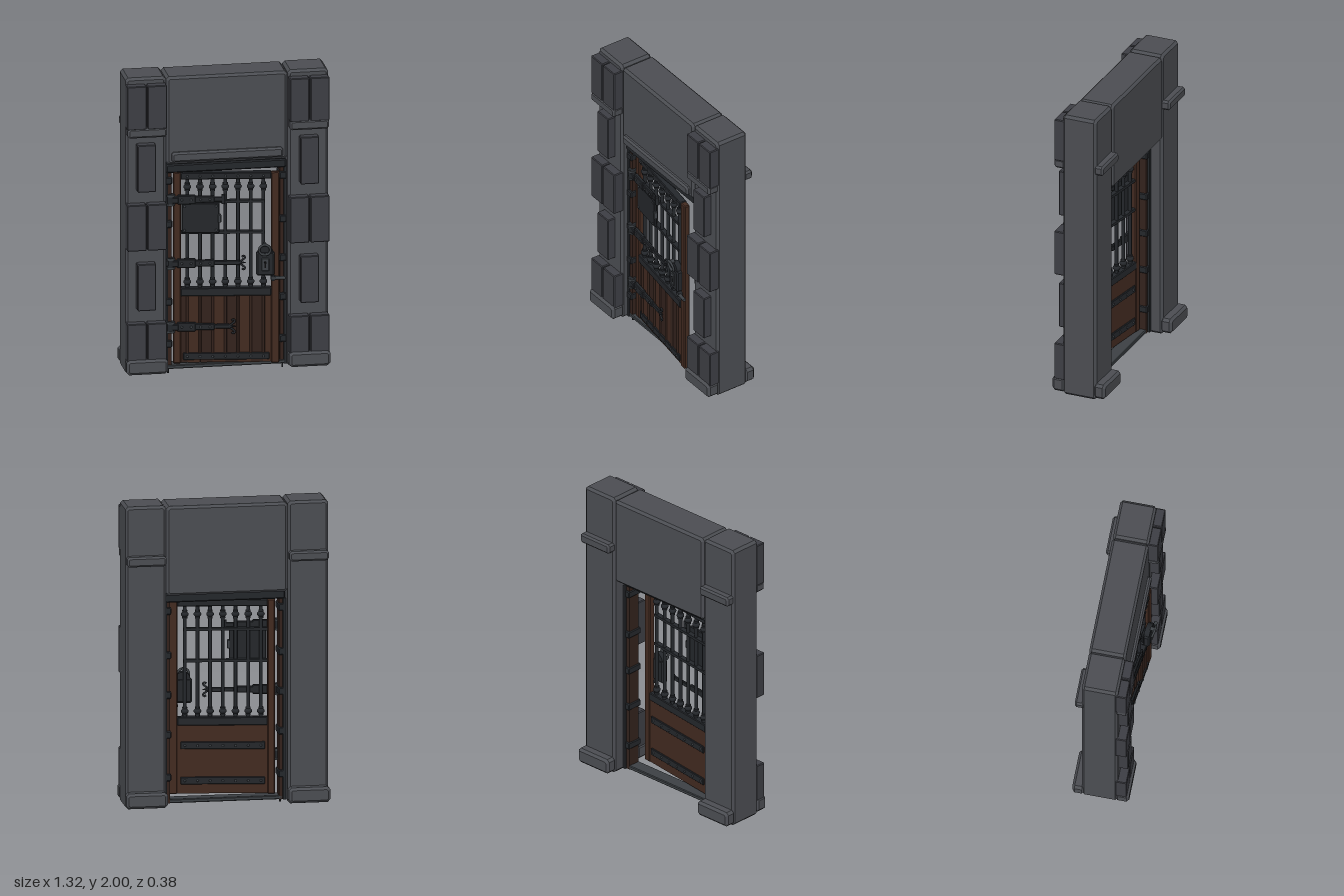
import * as THREE from 'three';

const mat = (color) => new THREE.MeshStandardMaterial({ color });
const stone = mat(0x4b4d52), block = mat(0x3d3e44), iron = mat(0x24272b);
const steel = mat(0x3c4044), wood = mat(0x422a20), darkWood = mat(0x33221c), black = mat(0x0c0c0d);

function add(parent, name, geometry, material, x = 0, y = 0, z = 0) {
  const mesh = new THREE.Mesh(geometry, material);
  mesh.name = name;
  mesh.position.set(x, y, z);
  parent.add(mesh);
  return mesh;
}

// Box given by its extents, with every edge chamfered by c
function slab(parent, name, material, [x0, x1], [y0, y1], [z0, z1], c = 0) {
  const w = x1 - x0, h = y1 - y0, d = z1 - z0;
  let geo;
  if (c > 0) {
    const a = w / 2 - c, b = h / 2 - c, k = c * 0.5;
    const shape = new THREE.Shape([[-a + k, -b], [a - k, -b], [a, -b + k], [a, b - k],
      [a - k, b], [-a + k, b], [-a, b - k], [-a, -b + k]].map((p) => new THREE.Vector2(...p)));
    geo = new THREE.ExtrudeGeometry(shape, {
      depth: d - 2 * c, bevelEnabled: true, bevelThickness: c, bevelSize: c, bevelSegments: 1,
    });
    geo.translate(0, 0, -d / 2 + c);
  } else geo = new THREE.BoxGeometry(w, h, d);
  return add(parent, name, geo, material, (x0 + x1) / 2, (y0 + y1) / 2, (z0 + z1) / 2);
}

function rod(parent, name, material, r, length, x, y, z, axis = 'y', sides = 10) {
  const mesh = add(parent, name, new THREE.CylinderGeometry(r, r, length, sides), material, x, y, z);
  if (axis === 'x') mesh.rotation.z = Math.PI / 2;
  if (axis === 'z') mesh.rotation.x = Math.PI / 2;
  return mesh;
}

function rivet(parent, x, y, z) {
  const mesh = add(parent, 'rivet', new THREE.SphereGeometry(0.008, 8, 4, 0, Math.PI * 2, 0, Math.PI / 2), steel, x, y, z);
  mesh.rotation.x = z < 0 ? -Math.PI / 2 : Math.PI / 2;
}

// Stone pillar with bands, feet and raised blocks on its front
function pillar(side) {
  const g = new THREE.Group();
  g.name = side > 0 ? 'leftPillar' : 'rightPillar';
  const box = (name, m, x, y, z, c) => slab(g, name, m, side > 0 ? x : [-x[1], -x[0]], y, z, c);
  box('pillarShaft', stone, [0.394, 0.656], [0.02, 2], [-0.127, 0.107], 0.016);
  for (const [z, foot] of [[[0.09, 0.18], true], [[-0.19, -0.11], true], [[0.09, 0.17], false], [[-0.175, -0.11], false]]) {
    if (foot) box('pillarFoot', stone, [0.392, 0.66], [0.035, 0.135], z, 0.016);
    else box('pillarBand', stone, [0.398, 0.652], [1.615, 1.68], z, 0.012);
  }
  for (const y of [[0.12, 0.373], [0.86, 1.167], [1.67, 1.96]]) {
    box('pairedBlock', block, [0.398, 0.524], y, [0.09, 0.165], 0.005);
    box('pairedBlock', block, [0.531, 0.655], y, [0.09, 0.165], 0.005);
  }
  for (const y of [[0.458, 0.77], [1.25, 1.565]])
    box('singleBlock', block, [0.468, 0.588], y, [0.09, 0.163], 0.005);
  return g;
}

// Fixed frame around the door
function frame() {
  const g = new THREE.Group();
  g.name = 'doorFrame';
  for (const s of [-1, 1]) {
    const span = (a, b) => (s > 0 ? [a, b] : [-b, -a]);
    slab(g, 'jamb', darkWood, span(0.352, 0.394), [0.03, 1.35], [-0.03, 0.055]);
    slab(g, 'jambIron', iron, span(0.376, 0.396), [0.03, 1.35], [-0.045, 0.065]);
    for (const y of [0.2, 0.48, 0.74, 1.0, 1.29])
      slab(g, 'jambBracket', iron, span(0.346, 0.396), [y - 0.024, y + 0.024], [-0.04, 0.07], 0.006);
    rod(g, 'floorSpike', iron, 0.006, 0.05, s * 0.37, 0.025, 0.037);
  }
  slab(g, 'frameHead', iron, [-0.39, 0.39], [1.345, 1.402], [-0.04, 0.08], 0.008);
  slab(g, 'threshold', steel, [-0.394, 0.394], [0.03, 0.056], [-0.03, 0.06], 0.005);
  return g;
}

// Strap hinge with knuckle, tapering plates and a curled tip
function strap(door, y, end, curled) {
  const g = new THREE.Group();
  g.name = 'strapHinge';
  g.position.set(0, y, 0);
  door.add(g);
  rod(g, 'hingeKnuckle', iron, 0.024, 0.075, -0.352, 0, 0.035, 'y', 12);
  for (const s of [-1, 1]) rod(g, 'knuckleRing', steel, 0.028, 0.012, -0.352, s * 0.03, 0.035, 'y', 12);
  slab(g, 'strapPlate', iron, [-0.36, -0.30], [-0.02, 0.02], [0.02, 0.054], 0.005);
  slab(g, 'strapPlate', iron, [-0.31, -0.19], [-0.03, 0.03], [0.02, 0.045], 0.005);
  slab(g, 'strapPlate', iron, [-0.2, -0.07], [-0.022, 0.022], [0.02, 0.041], 0.005);
  slab(g, 'strapTongue', iron, [-0.08, end], [-0.015, 0.015], [0.02, 0.037], 0.004);
  for (const x of [-0.28, -0.22, -0.16, -0.1]) rivet(g, x, 0, x < -0.2 ? 0.045 : 0.041);
  if (!curled) return;
  for (const s of [-1, 1]) {
    const path = new THREE.CatmullRomCurve3([[-0.01, 0], [0.02, 0.02], [0.035, 0.036], [0.025, 0.046], [0.014, 0.038]]
      .map(([x, v]) => new THREE.Vector3(end + x, s * v, 0.032)));
    add(g, 'strapCurl', new THREE.TubeGeometry(path, 12, 0.007, 6), iron);
  }
  const tip = add(g, 'strapTip', new THREE.ConeGeometry(0.013, 0.05, 6), iron, end + 0.02, 0, 0.03);
  tip.rotation.z = -Math.PI / 2;
}

// Lock case with ring, keyhole and lever
function lock(door) {
  const g = new THREE.Group();
  g.name = 'lock';
  g.position.set(0.253, 0, 0);
  door.add(g);
  slab(g, 'lockCase', iron, [-0.058, 0.058], [0.65, 0.81], [0.01, 0.055], 0.01);
  rod(g, 'lockCrown', iron, 0.048, 0.036, 0, 0.805, 0.032, 'z', 20);
  slab(g, 'keyPlate', steel, [-0.025, 0.025], [0.685, 0.77], [0.05, 0.061], 0.004);
  rod(g, 'keyhole', black, 0.009, 0.004, 0, 0.74, 0.061, 'z');
  slab(g, 'keySlot', black, [-0.004, 0.004], [0.705, 0.74], [0.06, 0.063]);
  const ring = add(g, 'pullRing', new THREE.TorusGeometry(0.036, 0.008, 8, 24), steel, -0.004, 0.828, 0.068);
  ring.rotation.x = 0.2;
  rod(g, 'ringBoss', steel, 0.013, 0.025, -0.004, 0.862, 0.058, 'z');
  rod(g, 'lever', steel, 0.011, 0.085, 0.085, 0.632, 0.038, 'x');
  rod(g, 'leverBoss', iron, 0.018, 0.035, 0.05, 0.632, 0.03, 'z');
}

// Barred door, hung on the right jamb and standing ajar
function door() {
  const pivot = new THREE.Group();
  pivot.name = 'door';
  pivot.position.set(-0.345, 0, 0.02);
  pivot.rotation.y = -0.14;
  const g = new THREE.Group();
  g.name = 'doorLeaf';
  g.position.x = 0.345;
  pivot.add(g);
  const bars = Array.from({ length: 7 }, (_, i) => -0.244 + i * 0.081);

  slab(g, 'hingeStile', wood, [-0.335, -0.285], [0.06, 1.335], [-0.02, 0.02], 0.006);
  slab(g, 'lockStile', wood, [0.29, 0.345], [0.06, 1.335], [-0.02, 0.02], 0.006);
  slab(g, 'backPanel', wood, [-0.288, 0.292], [0.065, 0.52], [-0.016, 0.004]);
  // front planks with thin battens over the joints
  for (let i = 0; i < 8; i++) {
    const x = Math.max(-0.285, -0.325 + i * 0.081), x1 = Math.min(0.29, -0.244 + i * 0.081);
    slab(g, 'plank', i % 2 ? wood : darkWood, [x + 0.002, x1 - 0.002], [0.065, 0.515], [0, 0.013]);
  }
  for (const x of bars) {
    rod(g, 'batten', darkWood, 0.009, 0.4, x, 0.31, 0.014, 'y', 8);
    rod(g, 'bar', iron, 0.012, 0.78, x, 0.92, 0, 'y', 8);
    for (const y of [0.6, 1.235]) {
      const collar = add(g, 'barCollar', new THREE.SphereGeometry(0.025, 12, 8), iron, x, y, 0);
      collar.scale.y = 0.75;
      for (const s of [-1, 1]) rod(g, 'collarRing', iron, 0.017, 0.01, x, y + s * 0.022, 0);
    }
  }
  for (const [y0, y1] of [[0.51, 0.565], [1.29, 1.335]])
    slab(g, 'ironRail', iron, [-0.287, 0.292], [y0, y1], [-0.024, 0.026], 0.005);
  slab(g, 'frontStrip', iron, [-0.27, 0.28], [0.085, 0.13], [0.01, 0.024], 0.003);
  for (const y of [0.15, 0.38]) {
    slab(g, 'backStrip', iron, [-0.27, 0.27], [y - 0.024, y + 0.024], [-0.028, -0.014], 0.004);
    for (const x of bars) rivet(g, x, y, -0.027);
  }
  for (const x of bars) {
    rivet(g, x, 0.107, 0.023);
    rivet(g, x, 1.312, 0.025);
  }
  for (const y of [0.932, 1.138]) slab(g, 'crossBar', iron, [-0.287, 0.25], [y - 0.009, y + 0.009], [-0.016, 0.016]);

  // hatch plate with latch
  slab(g, 'hatchPlate', iron, [-0.28, -0.04], [0.935, 1.135], [0.016, 0.036], 0.005);
  slab(g, 'hatchLatch', steel, [-0.05, -0.028], [1.005, 1.06], [0.018, 0.045], 0.004);
  for (const x of [-0.262, -0.06]) for (const y of [0.955, 1.115]) rivet(g, x, y, 0.036);

  strap(g, 1.16, -0.01, false);
  rod(g, 'strapPin', iron, 0.012, 0.06, -0.015, 1.16, 0.03);
  strap(g, 0.735, 0.09, true);
  strap(g, 0.31, 0.025, true);
  lock(g);
  return pivot;
}

export function createModel() {
  const model = new THREE.Group();
  model.name = 'barredDoorway';
  model.add(pillar(-1), pillar(1), frame(), door());
  // stone lintel with a ledge along its foot
  slab(model, 'lintel', stone, [-0.392, 0.392], [1.41, 1.995], [-0.13, 0.108], 0.016);
  slab(model, 'lintelLedge', stone, [-0.36, 0.36], [1.43, 1.495], [0.09, 0.133], 0.012);
  return model;
}
